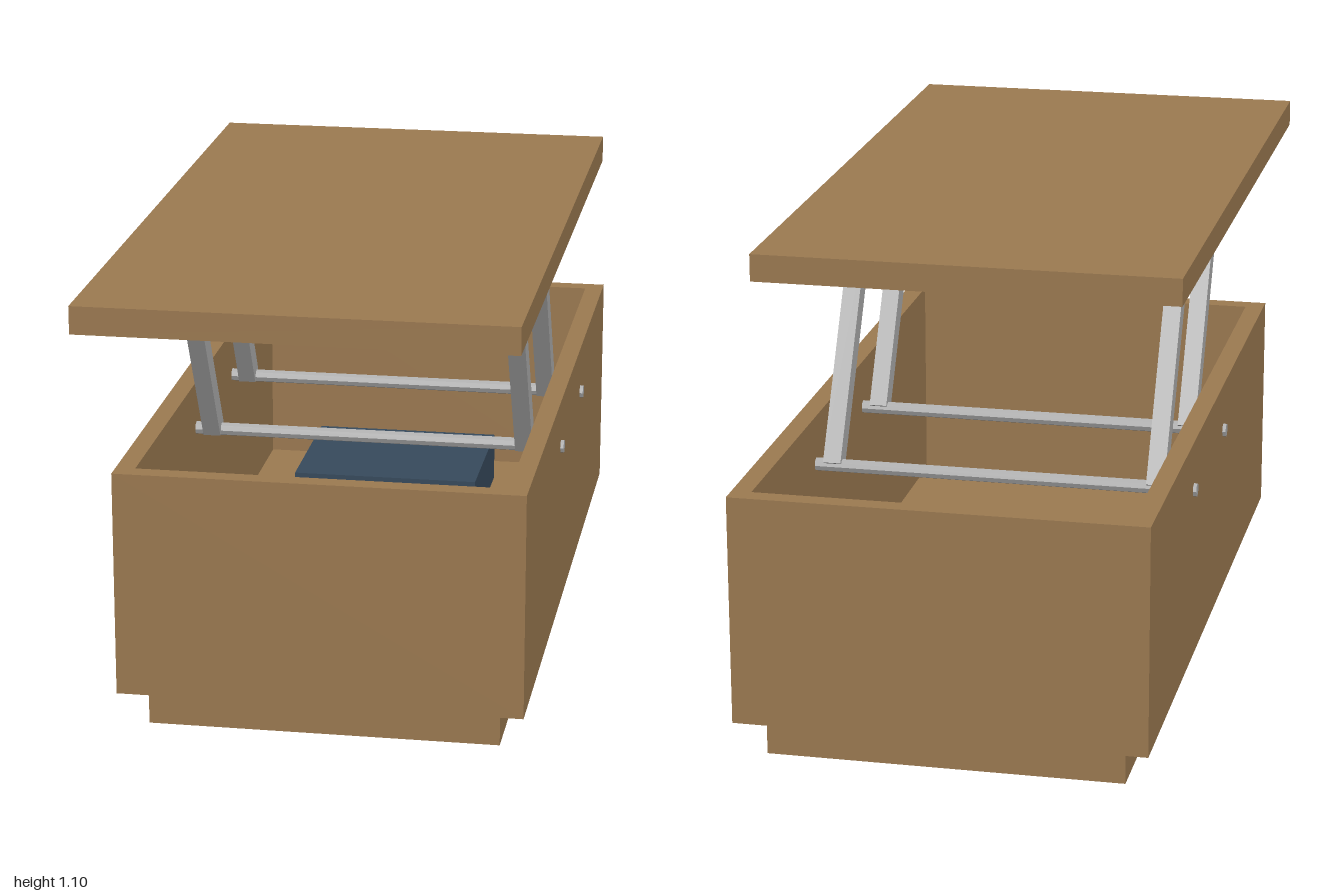
import * as THREE from 'three';

const wood = new THREE.MeshStandardMaterial({ name: 'wood', color: 0x9c7a51 });
const metal = new THREE.MeshStandardMaterial({ name: 'steel', color: 0xaeaeae, flatShading: true });
const blue = new THREE.MeshStandardMaterial({ name: 'darkBlue', color: 0x374a5c });

export function createModel() {
  const model = new THREE.Group();
  model.name = 'liftTopTable';

  const add = (name, geometry, material) => {
    const mesh = new THREE.Mesh(geometry, material);
    mesh.name = name;
    model.add(mesh);
    return mesh;
  };
  // Box given by its extents on each axis
  const box = (name, material, [x0, x1], [y0, y1], [z0, z1]) => {
    const mesh = add(name, new THREE.BoxGeometry(x1 - x0, y1 - y0, z1 - z0), material);
    mesh.position.set((x0 + x1) / 2, (y0 + y1) / 2, (z0 + z1) / 2);
    return mesh;
  };
  // Rectangle in plan, with z reversed for laying flat
  const rectangle = (Type, x, z0, z1) => new Type([
    new THREE.Vector2(-x, -z1), new THREE.Vector2(x, -z1),
    new THREE.Vector2(x, -z0), new THREE.Vector2(-x, -z0),
  ]);

  // Recessed plinth, storage floor and open box walls
  box('plinth', wood, [-0.408, 0.408], [0, 0.095], [-0.937, 0.657]);
  box('storageFloor', wood, [-0.425, 0.425], [0.095, 0.13], [-0.955, 0.675]);
  const plan = rectangle(THREE.Shape, 0.469, -1, 0.72);
  plan.holes.push(rectangle(THREE.Path, 0.424, -0.956, 0.676));
  const walls = add('storageWalls',
    new THREE.ExtrudeGeometry(plan, { depth: 0.532, bevelEnabled: false }), wood);
  walls.rotation.x = -Math.PI / 2;
  walls.position.y = 0.095;

  // Stored item on the floor
  box('storedBox', blue, [-0.265, 0.203], [0.13, 0.25], [-0.82, -0.43]);

  // Raised top with its two mounting rails
  box('tableTop', wood, [-0.485, 0.485], [1.035, 1.098], [-0.72, 1]);
  for (const side of [-1, 1]) {
    const rail = box('mountingRail', wood, [0.307, 0.353], [0.957, 1.035], [-0.2, 0.36]);
    rail.position.x *= side;
  }

  // Parallel lift linkage: two cross rods and two slanted arms per pair
  const rod = (name, halfLength, y, z) => {
    const mesh = add(name, new THREE.CylinderGeometry(0.016, 0.016, halfLength * 2, 8), metal);
    mesh.rotation.z = Math.PI / 2;
    mesh.position.set(0, y, z);
  };
  const lowY = 0.511, highY = 0.995, reach = 0.278;
  for (const z of [0.02, -0.42]) {
    rod('lowerRod', 0.477, lowY, z);
    rod('upperRod', 0.411, highY, z + reach);
    for (const side of [-1, 1]) {
      const arm = add('liftArm',
        new THREE.BoxGeometry(0.042, Math.hypot(highY - lowY, reach), 0.047), metal);
      arm.position.set(side * 0.382, (lowY + highY) / 2, z + reach / 2);
      arm.rotation.x = Math.atan2(reach, highY - lowY);
    }
  }
  return model;
}
